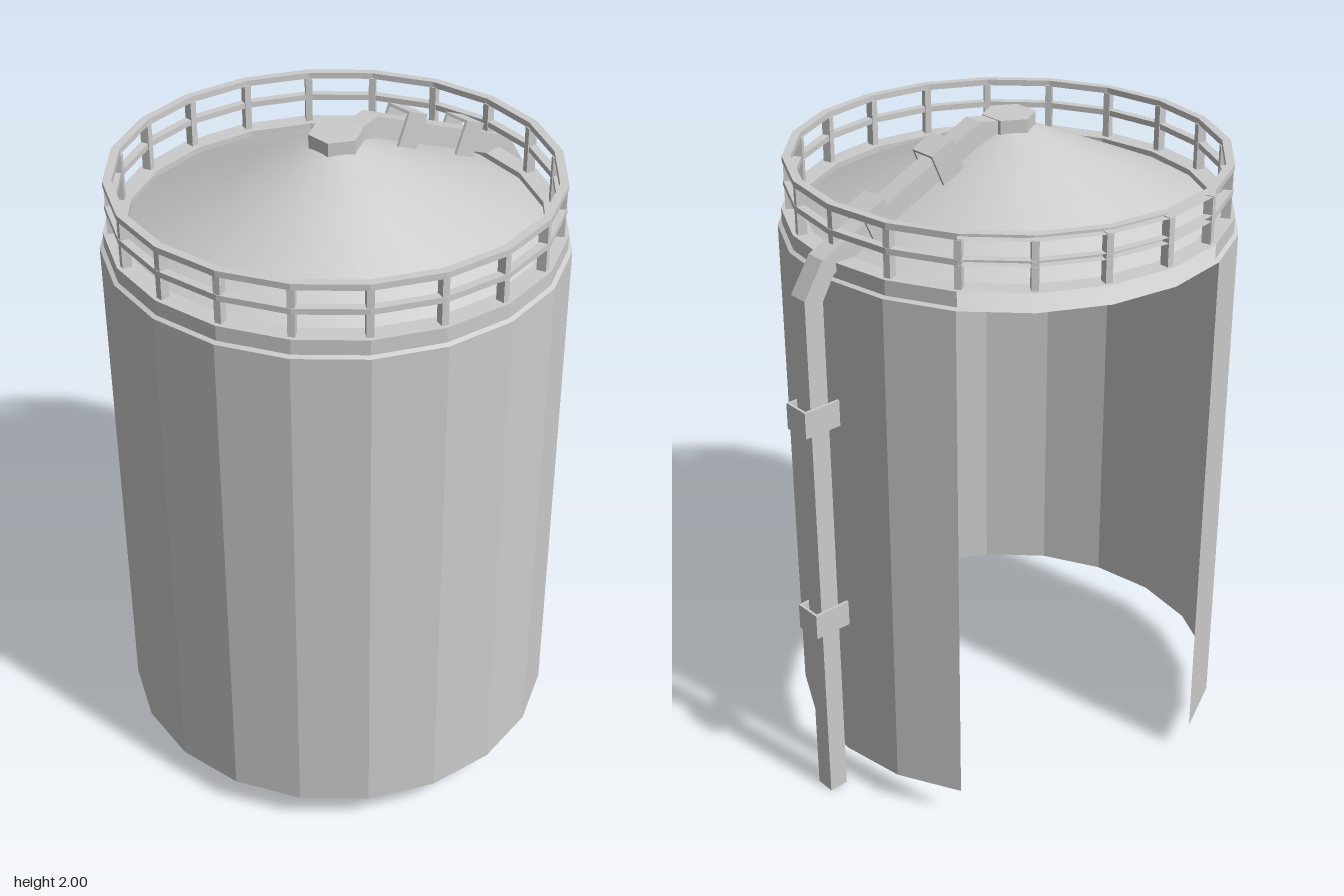
import * as THREE from 'three';

const SIDES = 20;
const STEP = (Math.PI * 2) / SIDES;
const CENTRE_Z = 0.06; // tank axis; the pipe stands behind it

const flat = new THREE.MeshStandardMaterial({ color: 0xcccccc, flatShading: true, side: THREE.DoubleSide });
const smooth = new THREE.MeshStandardMaterial({ color: 0xcccccc, side: THREE.DoubleSide });

function add(parent, name, geometry, material = flat) {
  const mesh = new THREE.Mesh(geometry, material);
  mesh.name = name;
  parent.add(mesh);
  return mesh;
}

// Full ring, or the outer skin with four panels missing at the back
function ring(points, open = false) {
  const profile = points.map(([r, y]) => new THREE.Vector2(r, y));
  return open
    ? new THREE.LatheGeometry(profile, SIDES - 4, 16 * STEP, 16 * STEP)
    : new THREE.LatheGeometry(profile, SIDES);
}

// U-shaped strap around the pipe, outer plate towards -z
function clamp(parent, y, z, tilt) {
  const g = new THREE.Group();
  g.name = 'pipeClamp';
  add(g, 'clampPlate', new THREE.BoxGeometry(0.084, 0.08, 0.008)).position.z = -0.055;
  for (const s of [-1, 1]) {
    add(g, 'clampSide', new THREE.BoxGeometry(0.008, 0.08, 0.117)).position.x = s * 0.038;
  }
  g.position.set(0, y, z);
  g.rotation.x = tilt;
  parent.add(g);
}

export function createModel() {
  const model = new THREE.Group();
  model.name = 'storageTank';
  const tank = new THREE.Group();
  tank.name = 'tank';
  tank.position.z = CENTRE_Z;
  model.add(tank);

  // Open-bottomed wall and conical roof
  add(tank, 'wall', ring([[0.66, 0.1], [0.66, 1.68]], true));
  add(tank, 'roof', ring([[0.66, 1.68], [0.45, 1.778], [0.25, 1.87], [0.07, 1.952], [0, 1.955]]), smooth);

  // Curb around the roof edge
  add(tank, 'curbOuter', ring([[0.648, 1.685], [0.648, 1.73]], true));
  add(tank, 'curbTop', ring([[0.648, 1.73], [0.59, 1.73], [0.59, 1.713]]));

  // Two rails on posts
  for (const [y0, y1] of [[1.798, 1.815], [1.868, 1.886]]) {
    add(tank, 'railOuter', ring([[0.638, y0], [0.638, y1]], true));
    add(tank, 'railInner', ring([[0.638, y1], [0.613, y1], [0.613, y0], [0.638, y0]]));
  }
  for (let i = 0; i < SIDES; i++) {
    const a = i * STEP;
    const post = add(tank, 'railPost', new THREE.BoxGeometry(0.02, 0.14, 0.027));
    post.position.set(Math.sin(a) * 0.622, 1.8, Math.cos(a) * 0.622);
    post.rotation.y = a;
  }

  // Hexagonal vent cap
  const cap = add(tank, 'ventCap', new THREE.CylinderGeometry(0.077, 0.077, 0.04, 6));
  cap.position.y = 1.97;
  cap.rotation.y = Math.PI / 6;

  // Square pipe from the cap, down the roof and the back
  const outline = [
    [-0.01, 1.985], [0.072, 2], [0.627, 1.75], [0.692, 1.65], [0.692, 0],
    [0.632, 0], [0.632, 1.632], [0.592, 1.7], [0.06, 1.94], [-0.01, 1.955],
  ].map(([a, y]) => new THREE.Vector2(a, y));
  const pipe = new THREE.ExtrudeGeometry(new THREE.Shape(outline), { depth: 0.06, bevelEnabled: false });
  pipe.rotateY(Math.PI / 2).translate(-0.03, 0, 0);
  add(model, 'pipe', pipe);

  clamp(model, 0.625, -0.661, 0);
  clamp(model, 1.29, -0.661, 0);
  clamp(model, 1.803, -0.436, 1.148);
  clamp(model, 1.911, -0.196, 1.148);

  return model;
}
